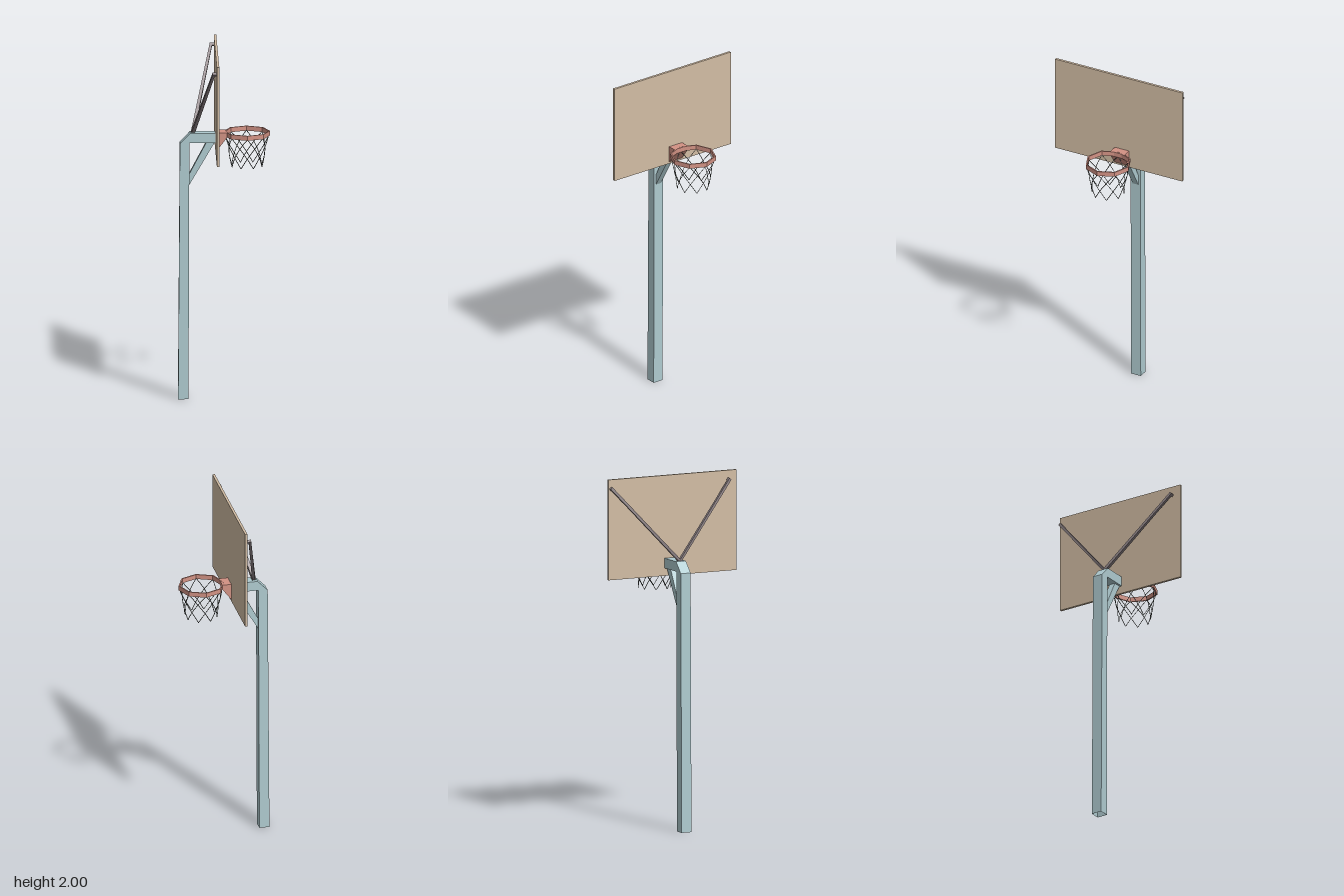
import * as THREE from 'three';

const mat = (color) => new THREE.MeshStandardMaterial({ color, flatShading: true, side: THREE.DoubleSide });
const STEEL = mat(0xafcbd0), BOARD = mat(0xd2bda4), RIM = mat(0xd29284), STRUT = mat(0x8a7f82), NET = mat(0x5a5e5c);
const MID_Z = -0.02; // plane of symmetry of the pole and hoop

function add(parent, name, geometry, material) {
  const mesh = new THREE.Mesh(geometry, material);
  mesh.name = name;
  parent.add(mesh);
  return mesh;
}

// Skins a run of four-cornered sections into an open tube.
function loft(sections) {
  const pos = [];
  for (let s = 0; s < sections.length - 1; s++) {
    for (let i = 0; i < 4; i++) {
      const j = (i + 1) % 4;
      const a = sections[s][i], b = sections[s][j], c = sections[s + 1][j], d = sections[s + 1][i];
      pos.push(...a, ...b, ...c, ...a, ...c, ...d);
    }
  }
  const g = new THREE.BufferGeometry();
  g.setAttribute('position', new THREE.Float32BufferAttribute(pos, 3));
  g.computeVertexNormals();
  return g;
}

// Extrudes an xy outline through a depth centred on z = 0.
function slab(points, depth) {
  const shape = new THREE.Shape(points.map(([x, y]) => new THREE.Vector2(x, y)));
  return new THREE.ExtrudeGeometry(shape, { depth, bevelEnabled: false }).translate(0, 0, -depth / 2);
}

// Diagonal strut: short stub off the board, mitred elbow, long run to the pole.
function strutGeometry() {
  const h = 0.0075;
  const d = new THREE.Vector3(0, -0.75, 0.66), w = new THREE.Vector3(0, 0.66, 0.75);
  const x = new THREE.Vector3(1, 0, 0), y = new THREE.Vector3(0, 1, 0);
  const elbowU = x.clone().multiplyScalar(0.82).add(d);
  const section = (c, u, v) => [[1, 1], [-1, 1], [-1, -1], [1, -1]].map(([p, q]) =>
    new THREE.Vector3(...c).addScaledVector(u, p * h).addScaledVector(v, q * h).toArray());
  return loft([
    section([-0.049, 1.948, -0.37], d, w),
    section([-0.066, 1.948, -0.37], elbowU, w),
    section([-0.175, 1.53, 0], x.clone().multiplyScalar(1.3), y.clone().multiplyScalar(1.5)),
  ]);
}

// Net cord spiralling down from one rim corner.
function cordGeometry(corner, turn) {
  const pts = [];
  for (let i = 0; i <= 6; i++) {
    const t = i / 6;
    const a = (corner + turn * 1.5 * t) * Math.PI / 4;
    const r = 0.122 - 0.046 * t + 0.014 * t * t;
    pts.push(new THREE.Vector3(r * Math.cos(a), 1.512 - 0.176 * t, r * Math.sin(a)));
  }
  return new THREE.TubeGeometry(new THREE.CatmullRomCurve3(pts), 9, 0.002, 4);
}

export function createModel() {
  const model = new THREE.Group();
  model.name = 'basketballHoop';

  // Backboard
  add(model, 'backboard', new THREE.BoxGeometry(0.014, 0.57, 0.81), BOARD).position.set(-0.0425, 1.715, 0);

  const centred = new THREE.Group();
  centred.name = 'poleAndHoop';
  centred.position.z = MID_Z;
  model.add(centred);

  // Pole bending over into the arm: outer and inner corner of each section
  const bends = [
    [-0.258, 0, -0.2, 0],
    [-0.248, 1.47, -0.195, 1.474],
    [-0.19, 1.53, -0.195, 1.474],
    [-0.049, 1.53, -0.049, 1.474],
  ];
  const half = 0.031;
  add(centred, 'pole', loft(bends.map(([ox, oy, ix, iy]) =>
    [[ox, oy, half], [ix, iy, half], [ix, iy, -half], [ox, oy, -half]])), STEEL);

  // Diagonal brace under the arm
  add(centred, 'brace', slab([[-0.197, 1.228], [-0.053, 1.474], [-0.1, 1.474], [-0.197, 1.29]], 0.036), STEEL);

  // Struts to the upper board corners
  for (const side of [1, -1]) {
    add(centred, side > 0 ? 'rightStrut' : 'leftStrut', strutGeometry(), STRUT).scale.z = side;
  }

  // Rim bracket
  add(centred, 'rimBracket', slab([[-0.0355, 1.44], [0.016, 1.508], [0.016, 1.535], [-0.0355, 1.535]], 0.09), RIM);

  // Hoop: eight-sided rim and net
  const hoop = new THREE.Group();
  hoop.name = 'hoop';
  hoop.position.x = 0.128;
  centred.add(hoop);
  const profile = [[0.122, 1.509], [0.13, 1.509], [0.13, 1.536], [0.122, 1.536], [0.122, 1.509]];
  add(hoop, 'rim', new THREE.LatheGeometry(profile.map(([r, y]) => new THREE.Vector2(r, y)), 8), RIM);

  const net = new THREE.Group();
  net.name = 'net';
  hoop.add(net);
  for (let k = 0; k < 8; k++) {
    for (const turn of [1, -1]) add(net, 'netCord', cordGeometry(k, turn), NET);
  }
  return model;
}
